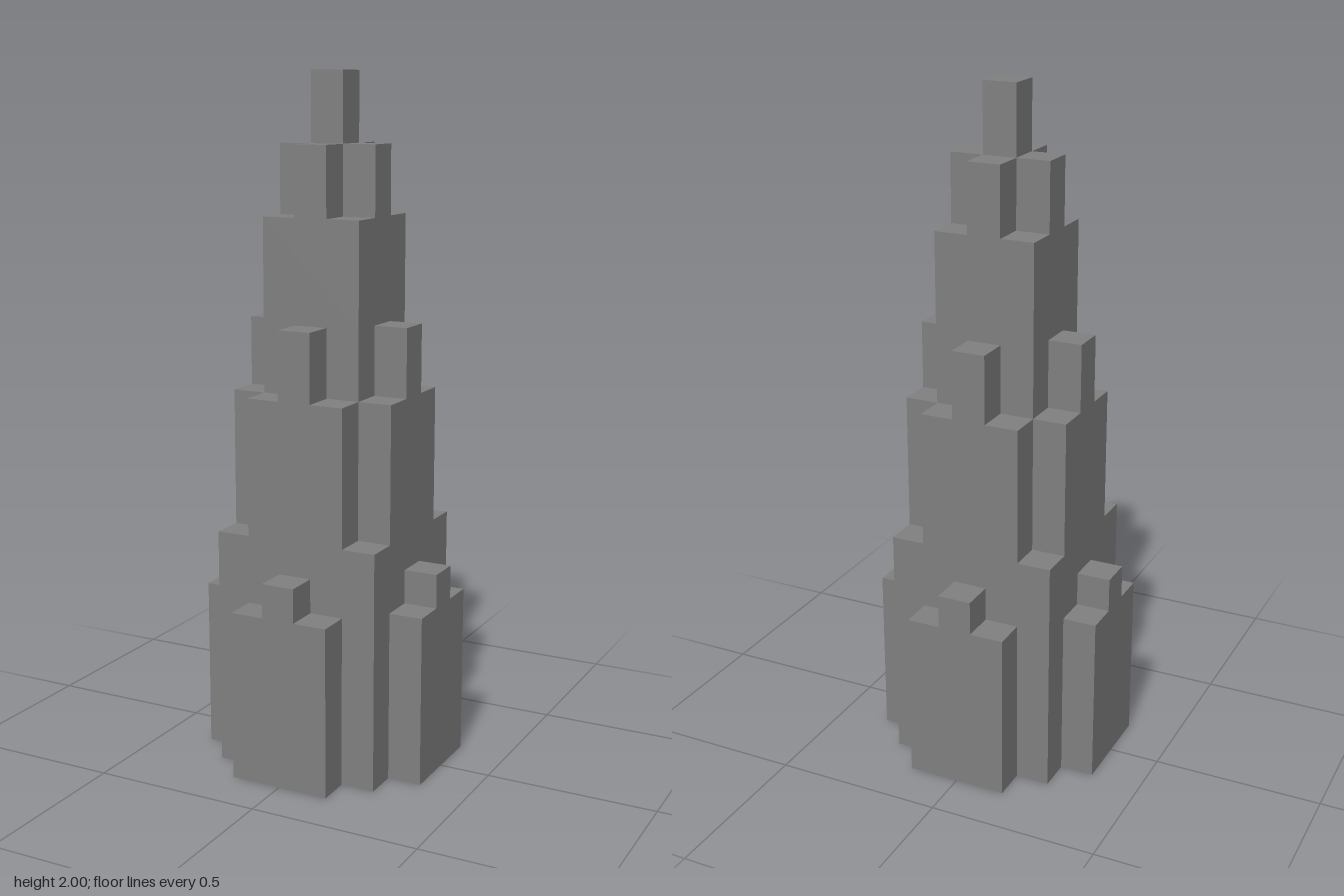
import * as THREE from 'three';

// Each tier: name, bottom, top, and the outline corners of one quadrant (repeated by quarter turns)
const TIERS = [
  ['base', 0, 0.5, [[0.35, 0.15], [0.25, 0.15], [0.25, 0.25], [0.15, 0.25], [0.15, 0.35]]],
  ['baseCrenels', 0.5, 0.6, [[0.35, 0.05], [0.25, 0.05], [0.25, 0.25], [0.05, 0.25], [0.05, 0.35]]],
  ['lowerShoulder', 0.6, 0.7, [[0.25, 0.25]]],
  ['middleShaft', 0.7, 1.1, [[0.25, 0.15], [0.15, 0.15], [0.15, 0.25]]],
  ['middleCrenels', 1.1, 1.3, [[0.25, 0.05], [0.15, 0.05], [0.15, 0.15], [0.05, 0.15], [0.05, 0.25]]],
  ['upperShaft', 1.3, 1.6, [[0.15, 0.15]]],
  ['crown', 1.6, 1.8, [[0.15, 0.05], [0.05, 0.05], [0.05, 0.15]]],
  ['spire', 1.8, 2.0, [[0.05, 0.05]]],
];

// Closed outline with four-fold symmetry
function outline(quadrant) {
  const points = [];
  for (let turn = 0; turn < 4; turn++) {
    for (const [x, y] of quadrant) {
      const p = new THREE.Vector2(x, y);
      for (let i = 0; i < turn; i++) p.set(-p.y, p.x);
      points.push(p);
    }
  }
  return new THREE.Shape(points);
}

export function createModel() {
  const model = new THREE.Group();
  model.name = 'steppedTower';
  const stone = new THREE.MeshStandardMaterial({ color: 0x808080 });
  stone.name = 'grey stone';

  // Stacked tiers, each a straight extrusion upward
  for (const [name, bottom, top, quadrant] of TIERS) {
    const geometry = new THREE.ExtrudeGeometry(outline(quadrant), { depth: top - bottom, bevelEnabled: false });
    geometry.rotateX(-Math.PI / 2);
    const tier = new THREE.Mesh(geometry, stone);
    tier.name = name;
    tier.position.y = bottom;
    model.add(tier);
  }
  return model;
}
